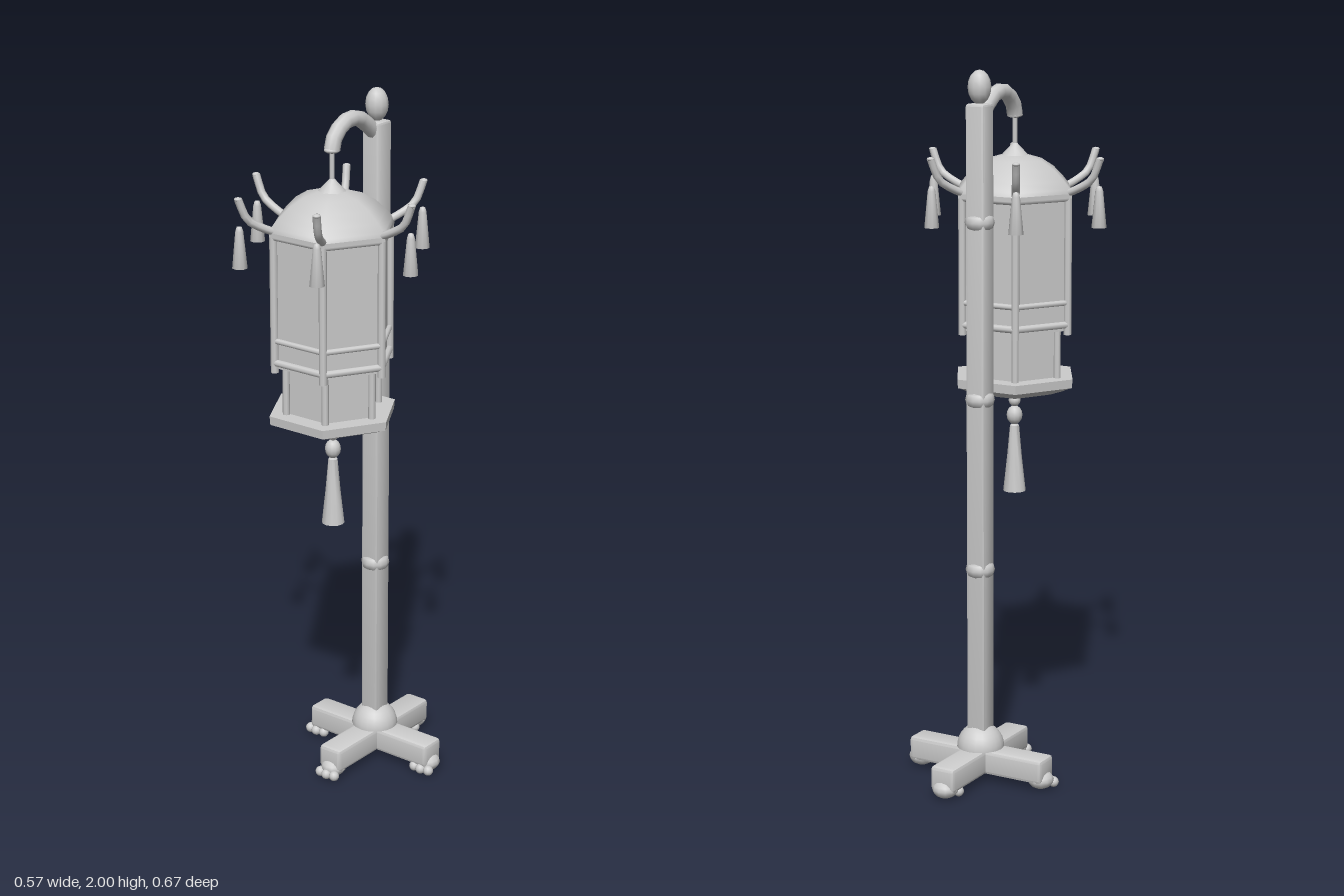
import * as THREE from 'three';
import { toCreasedNormals } from 'three/addons/utils/BufferGeometryUtils.js';
import { RoundedBoxGeometry } from 'three/addons/geometries/RoundedBoxGeometry.js';

const POLE_Z = -0.107;
const LANTERN_Z = 0.087;

export function createModel() {
  const paint = new THREE.MeshStandardMaterial({ color: 0xcccccc, side: THREE.DoubleSide });
  paint.name = 'light grey';
  const model = new THREE.Group();
  model.name = 'lanternStand';

  const add = (parent, name, geometry, x = 0, y = 0, z = 0) => {
    const mesh = new THREE.Mesh(geometry, paint);
    mesh.name = name;
    mesh.position.set(x, y, z);
    parent.add(mesh);
    return mesh;
  };
  const group = (parent, name, x, y, z) => {
    const g = new THREE.Group();
    g.name = name;
    g.position.set(x, y, z);
    parent.add(g);
    return g;
  };
  const ball = (r, sx = 1, sy = 1, sz = 1) => new THREE.SphereGeometry(r, 12, 8).scale(sx, sy, sz);
  const chamferBox = (w, h, d, r) => toCreasedNormals(new RoundedBoxGeometry(w, h, d, 1, r), 0.4);
  const lathe = (points, sides) =>
    new THREE.LatheGeometry(points.map(([r, y]) => new THREE.Vector2(r, y)), sides);

  // Straight round bar between two points
  const bar = (parent, name, a, b, r) => {
    const dir = b.clone().sub(a);
    const mesh = add(parent, name, new THREE.CylinderGeometry(r, r, dir.length(), 8));
    mesh.position.copy(a).add(b).multiplyScalar(0.5);
    mesh.quaternion.setFromUnitVectors(new THREE.Vector3(0, 1, 0), dir.normalize());
  };
  // Corner of a hexagon with points on the x axis
  const corner = (i, r, y) =>
    new THREE.Vector3(r * Math.cos(i * Math.PI / 3), y, r * Math.sin(i * Math.PI / 3));

  // Crossed base
  const stand = group(model, 'stand', 0, 0, POLE_Z);
  add(stand, 'sideBeam', chamferBox(0.43, 0.07, 0.076, 0.01), 0, 0.06, 0);
  add(stand, 'lengthBeam', chamferBox(0.076, 0.07, 0.43, 0.01), 0, 0.06, 0);
  add(stand, 'baseDome', new THREE.SphereGeometry(0.067, 20, 8, 0, Math.PI * 2, 0, Math.PI / 2), 0, 0.095, 0);

  // Paw feet, all toes facing forward
  for (const [x, z] of [[0.195, 0], [-0.195, 0], [0, 0.195], [0, -0.195]]) {
    const paw = group(stand, 'paw', x, 0, z);
    add(paw, 'pad', ball(0.037, 1, 0.72, 1), 0, 0.03, 0);
    for (const t of [-1, 0, 1]) {
      add(paw, 'toe', ball(0.015), t * 0.025, 0.017, 0.034 - Math.abs(t) * 0.004);
    }
  }

  // Pole with rings and finial
  add(stand, 'pole', chamferBox(0.058, 1.81, 0.058, 0.007), 0, 1.005, 0);
  for (const y of [0.615, 1.1, 1.59]) {
    add(stand, 'poleRing', new THREE.TorusGeometry(0.027, 0.014, 8, 12).rotateX(Math.PI / 2).scale(1, 1.5, 1), 0, y, 0);
  }
  add(stand, 'finial', ball(0.032, 1, 1.45, 1), 0, 1.954, 0);

  // Curved hook and hanging rod
  const hookPath = new THREE.CatmullRomCurve3(
    [[1.87, -0.107], [1.905, -0.065], [1.932, -0.02], [1.93, 0.035], [1.895, 0.078], [1.865, 0.087]]
      .map(([y, z]) => new THREE.Vector3(0, y, z)));
  add(model, 'hook', new THREE.TubeGeometry(hookPath, 8, 0.022, 10));
  add(model, 'hookTip', ball(0.022, 1, 0.4, 1), 0, 1.865, LANTERN_Z);
  add(model, 'hangingRod', new THREE.CylinderGeometry(0.007, 0.007, 0.11, 8), 0, 1.82, LANTERN_Z);

  // Lantern
  const lantern = group(model, 'lantern', 0, 0, LANTERN_Z);
  const hex = (name, points, crease) => {
    const geometry = lathe(points, 6).rotateY(Math.PI / 6);
    add(lantern, name, crease ? toCreasedNormals(geometry, 0.3) : geometry);
  };
  hex('roof', [[0.18, 1.655], [0.175, 1.668], [0.155, 1.69], [0.125, 1.718], [0.085, 1.742], [0.04, 1.755], [0, 1.758]], false);
  hex('roofUnderside', [[0, 1.645], [0.18, 1.645], [0.18, 1.657]], true);
  hex('upperPanels', [[0, 1.275], [0.162, 1.275], [0.162, 1.65]], true);
  hex('lowerPanels', [[0.128, 1.13], [0.128, 1.28]], true);
  hex('tray', [[0.183, 1.115], [0.185, 1.14], [0, 1.14]], true);
  hex('bowl', [[0, 1.077], [0.07, 1.08], [0.115, 1.09], [0.15, 1.102], [0.183, 1.116]], false);
  add(lantern, 'roofCap', lathe([[0, 1.728], [0.05, 1.732], [0.051, 1.742], [0.037, 1.755], [0.018, 1.775], [0, 1.795]], 12));

  // Frame, eave horns and small tassels at each corner
  for (let i = 0; i < 6; i++) {
    bar(lantern, 'upperPost', corner(i, 0.168, 1.265), corner(i, 0.168, 1.655), 0.011);
    bar(lantern, 'lowerPost', corner(i, 0.136, 1.135), corner(i, 0.136, 1.285), 0.01);
    for (const [y, r] of [[1.645, 0.01], [1.355, 0.008], [1.293, 0.01]]) {
      bar(lantern, 'rail', corner(i, 0.168, y), corner(i + 1, 0.168, y), r);
    }
    const horn = new THREE.CatmullRomCurve3([
      corner(i, 0.165, 1.658), corner(i, 0.205, 1.676), corner(i, 0.24, 1.7), corner(i, 0.265, 1.757)]);
    add(lantern, 'eaveHorn', new THREE.TubeGeometry(horn, 6, 0.011, 8));
    const tip = corner(i, 0.265, 1.757);
    add(lantern, 'hornTip', ball(0.011, 1, 0.5, 1), tip.x, tip.y, tip.z);
    const t = corner(i, 0.263, 0);
    add(lantern, 'smallTassel', lathe([[0, 1.57], [0.021, 1.57], [0.011, 1.67], [0.007, 1.682], [0, 1.684]], 10), t.x, 0, t.z);
  }

  // Large tassel below the bowl
  add(lantern, 'tasselCord', new THREE.CylinderGeometry(0.007, 0.007, 0.1, 8), 0, 1.04, 0);
  add(lantern, 'tasselBead', ball(0.017), 0, 1.062, 0);
  add(lantern, 'tasselKnot', ball(0.025, 0.9, 1.1, 0.9), 0, 1.02, 0);
  add(lantern, 'tasselSkirt', toCreasedNormals(lathe([[0, 0.8], [0.032, 0.8], [0.021, 0.9], [0.013, 0.99], [0, 1.0]], 12), 0.8));

  return model;
}
